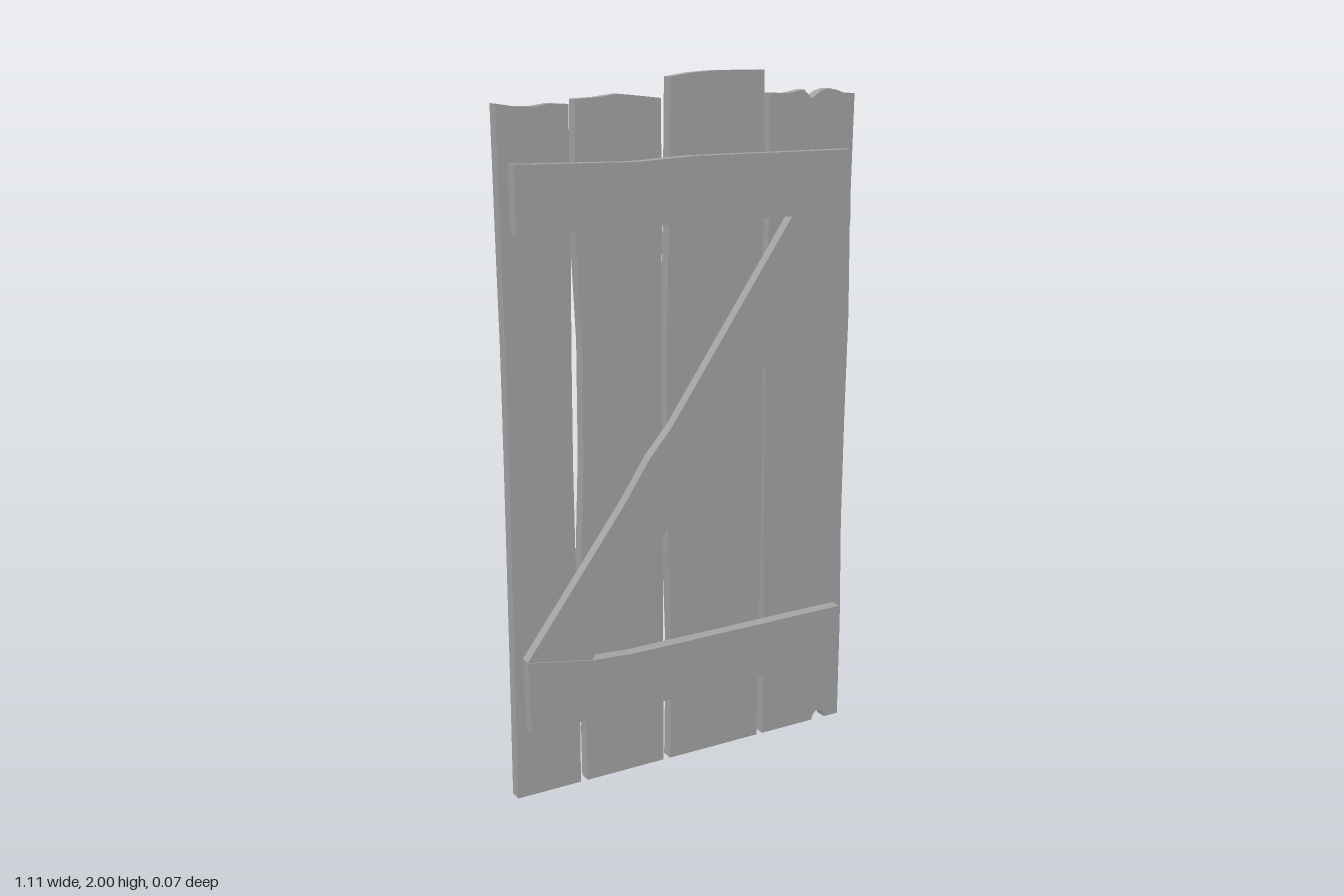
import * as THREE from 'three';

const wood = new THREE.MeshStandardMaterial({ color: 0xa6a6a6 });
wood.name = 'greyWood';

// A board cut from a flat outline, with its back at z
function board(name, points, z, depth) {
  const shape = new THREE.Shape(points.map(([x, y]) => new THREE.Vector2(x, y)));
  const geometry = new THREE.ExtrudeGeometry(shape, { depth, bevelEnabled: false });
  geometry.translate(0, 0, z);
  const mesh = new THREE.Mesh(geometry, wood);
  mesh.name = name;
  return mesh;
}

// A long edge rising from y = 0 to height, moved sideways by evenly spaced wobbles (thousandths)
function longEdge(x, wobble, height) {
  return wobble.map((w, i) => [x + w / 1000, (height * i) / (wobble.length - 1)]);
}

// An upright plank: two uneven long edges, a worn top at evenly spaced heights, and an optional bottom notch
function plank(name, left, leftWobble, right, rightWobble, top, notch = []) {
  const leftEdge = longEdge(left, leftWobble, top[0]);
  const rightEdge = longEdge(right, rightWobble, top[top.length - 1]);
  const wornTop = top.map((y, i) => [left + ((right - left) * i) / (top.length - 1), y]).slice(1, -1);
  const outline = [leftEdge[0], ...notch, ...rightEdge, ...wornTop.reverse(), ...leftEdge.slice(1).reverse()];
  return board(name, outline, -0.036, 0.036);
}

// Rounded bite out of a bottom edge
function bite(x, radius, steps) {
  return Array.from({ length: steps + 1 }, (_, i) => {
    const a = Math.PI * (1 - i / steps);
    return [x + radius * Math.cos(a), 1.2 * radius * Math.sin(a)];
  });
}

export function createModel() {
  const door = new THREE.Group();
  door.name = 'plankDoor';

  // Upright planks
  door.add(
    plank('outerRightPlank', -0.555, [0, 2, 3, 4, 4, 0, -3], -0.357, [0, 2, -3, -5, -3, 2, 2],
      [1.925, 1.917, 1.915, 1.922, 1.92]),
    plank('innerRightPlank', -0.335, [0, -2, -9, 5, 7, -7, 0], -0.082, [-1, 0, 0, -2, -2, 2, 0],
      [1.932, 1.935, 1.943, 1.937, 1.93]),
    plank('innerLeftPlank', -0.06, [0, 6, -4, -6, -5, 3, 8], 0.25, [-3, 0, 4, 8, -3, 0, -4],
      [1.985, 1.995, 2, 2, 2]),
    plank('outerLeftPlank', 0.265, [3, 5, -2, -4, -4, 3, 0], 0.55, [3, 4, -2, 0, 5, 0, 5],
      [1.938, 1.937, 1.935, 1.939, 1.945, 1.92, 1.94, 1.947, 1.942, 1.932, 1.932], bite(0.478, 0.024, 5)),
  );

  // Z-shaped frame on the front, its boards meeting along shared corners
  const upperInner = [0.325, 1.597];
  const upperOuter = [0.525, 1.565];
  const lowerInner = [-0.33, 0.387];
  const lowerOuter = [-0.528, 0.42];
  door.add(
    board('topBatten', [[-0.528, 1.597], upperInner, upperOuter, [0.52, 1.777], [0, 1.777], [-0.18, 1.768],
      [-0.528, 1.775]], 0, 0.037),
    board('bottomBatten', [[-0.524, 0.208], [0.525, 0.208], [0.523, 0.383], [-0.2, 0.379], lowerInner,
      lowerOuter], 0, 0.037),
    board('diagonalBrace', [lowerInner, [-0.06, 0.77], [0.12, 1], [0.19, 1.11], upperOuter,
      upperInner, [-0.07, 1.03], [-0.14, 0.95], [-0.22, 0.83], lowerOuter], 0, 0.033),
  );
  return door;
}
